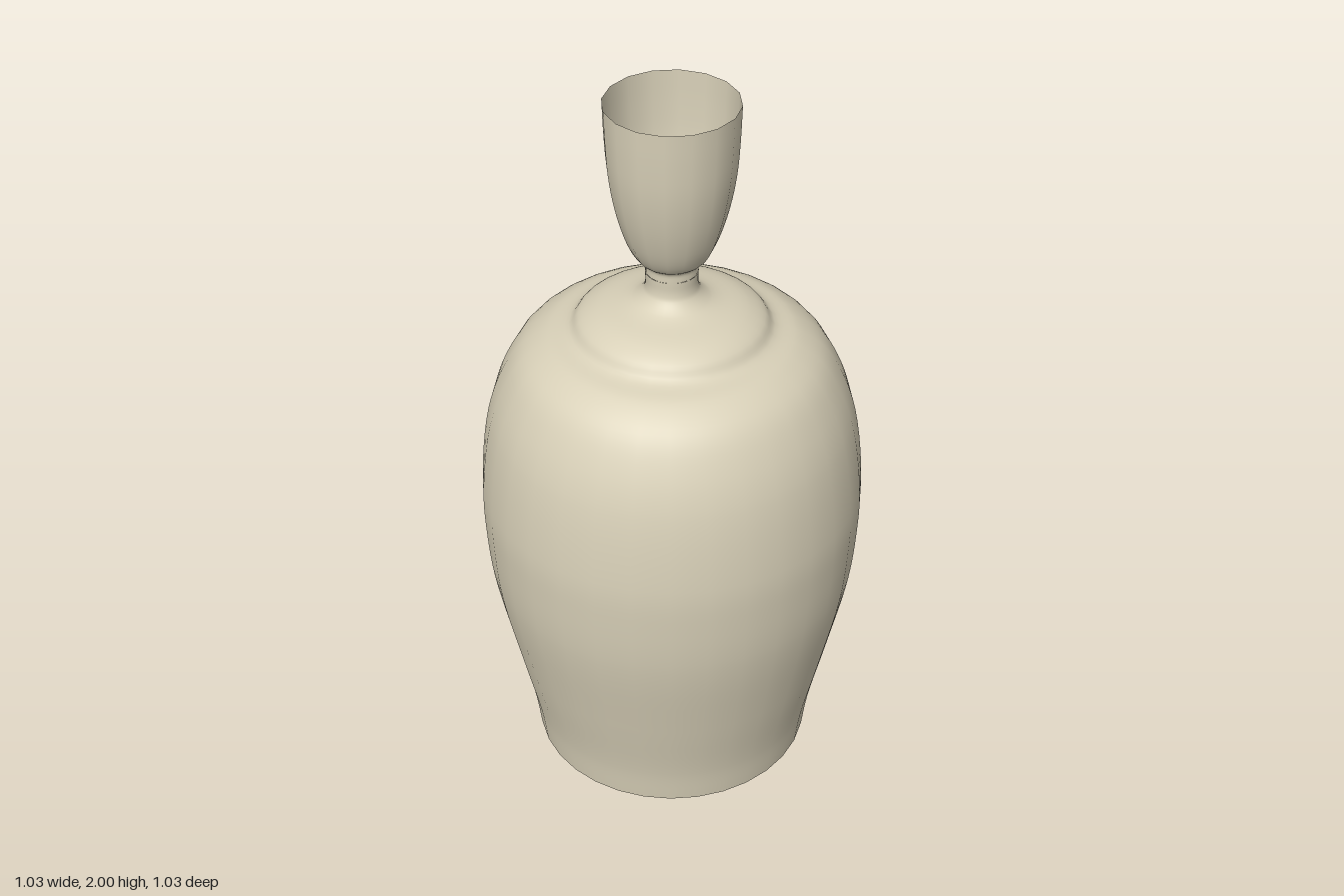
import * as THREE from 'three';

// Smooth open surface of revolution through [radius, height] points.
function turned(name, points, steps, sides, phi, material) {
  const curve = new THREE.CatmullRomCurve3(
    points.map(([r, y]) => new THREE.Vector3(r, y, 0)), false, 'centripetal');
  const profile = curve.getPoints(steps).map((p) => new THREE.Vector2(p.x, p.y));
  const mesh = new THREE.Mesh(new THREE.LatheGeometry(profile, sides, phi), material);
  mesh.name = name;
  return mesh;
}

export function createModel() {
  const group = new THREE.Group();
  group.name = 'bottleVase';
  const material = new THREE.MeshStandardMaterial({ color: 0xd8d0b8, side: THREE.DoubleSide });

  // Hollow body with open base, stepped shoulder and narrow neck
  group.add(turned('body', [
    [0.387, 0], [0.402, 0.11], [0.446, 0.31], [0.5, 0.57], [0.516, 0.74],
    [0.518, 0.87], [0.492, 1.08], [0.452, 1.2], [0.402, 1.283], [0.335, 1.332],
    [0.27, 1.353], [0.244, 1.385], [0.196, 1.412], [0.106, 1.438],
    [0.075, 1.465], [0.069, 1.485], [0.069, 1.52],
  ], 80, 32, Math.PI / 32, material));

  // Tall flared mouth, open at the top
  group.add(turned('mouth', [
    [0.069, 1.52], [0.071, 1.545], [0.09, 1.562], [0.112, 1.6], [0.135, 1.665],
    [0.153, 1.74], [0.165, 1.82], [0.171, 1.91], [0.174, 2],
  ], 32, 16, 0, material));

  return group;
}
